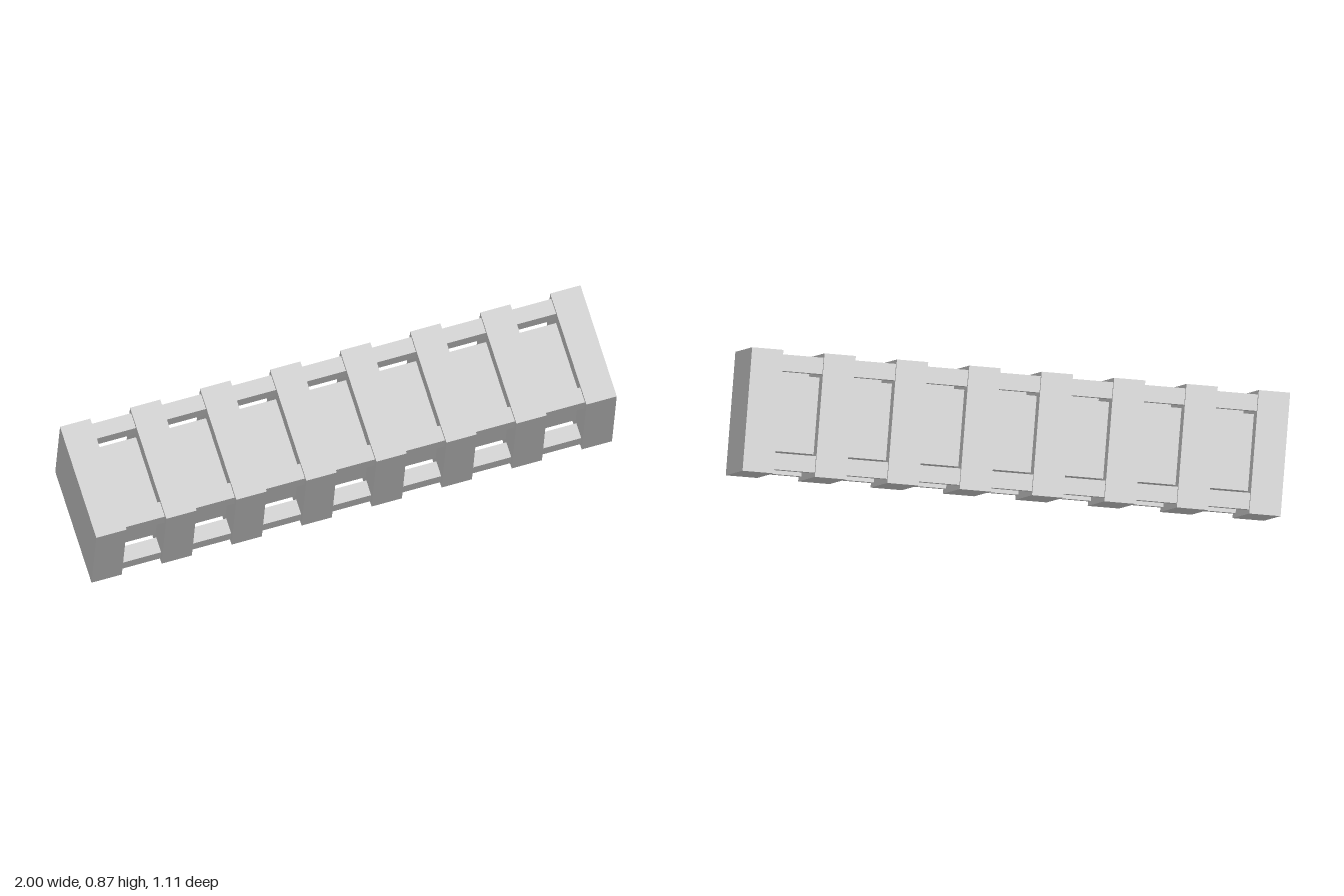
import * as THREE from 'three';

const LENGTH = 1.906, SIDE = 0.434;      // overall bar
const RIBS = 8, RIB = 0.111;             // square plates along it
const RAIL = 0.058, RAIL_INSET = 0.015;  // corner rails
const CORE = 0.27;                       // inner block, clear of the rails

export function createModel() {
  const model = new THREE.Group();
  model.name = 'ribbedBeam';
  const mat = new THREE.MeshStandardMaterial({ color: 0xcccccc, flatShading: true });

  const beam = new THREE.Group();
  beam.name = 'beam';
  const box = (name, w, h, d, x, y, z) => {
    const mesh = new THREE.Mesh(new THREE.BoxGeometry(w, h, d), mat);
    mesh.name = name;
    mesh.position.set(x, y, z);
    beam.add(mesh);
  };

  // Evenly spaced square ribs, the first and last closing the ends
  const step = (LENGTH - RIB) / (RIBS - 1);
  for (let i = 0; i < RIBS; i++) {
    box('rib', RIB, SIDE, SIDE, (i - (RIBS - 1) / 2) * step, 0, 0);
  }

  // Inner block and four corner rails, ending inside the end ribs
  const inner = LENGTH - RIB;
  box('core', inner, CORE, CORE, 0, 0, 0);
  const r = SIDE / 2 - RAIL_INSET - RAIL / 2;
  for (const sy of [-1, 1]) {
    for (const sz of [-1, 1]) box('cornerRail', inner, RAIL, RAIL, 0, sy * r, sz * r);
  }

  // Tilt the whole beam: its length, upper side and front side directions
  const along = new THREE.Vector3(0.9496, 0.1417, 0.2807).normalize();
  const front = along.clone().cross(new THREE.Vector3(-0.276, 0.81, 0.518)).normalize();
  const up = front.clone().cross(along);
  beam.quaternion.setFromRotationMatrix(new THREE.Matrix4().makeBasis(along, up, front));
  beam.position.y = 0.434;
  model.add(beam);
  return model;
}
